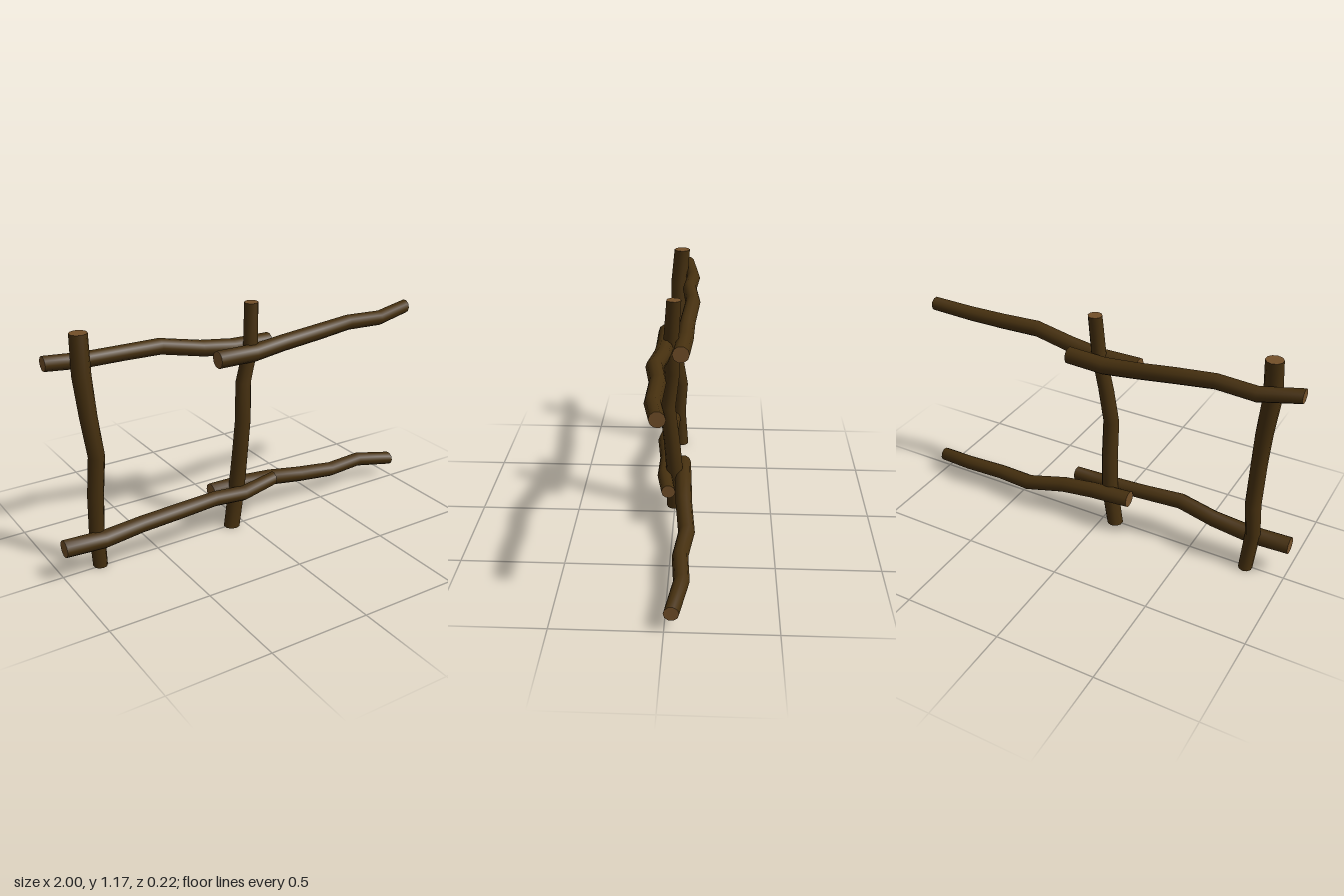
import * as THREE from 'three';

const SIDES = 10;

// A crooked log: each point is [along, across, z, radius]. Posts run along y, rails along x.
function makeLog(name, upright, points, materials) {
  const rows = points.length - 1;
  const geo = new THREE.CylinderGeometry(1, 1, 1, SIDES, rows);
  const pos = geo.attributes.position;
  for (let i = 0; i < pos.count; i++) {
    const [along, across, z, r] = points[Math.round((pos.getY(i) + 0.5) * rows)];
    const px = pos.getX(i) * r, pz = pos.getZ(i) * r + z;
    if (upright) pos.setXYZ(i, across + px, along, pz);
    else pos.setXYZ(i, along, across - px, pz);
  }
  geo.computeVertexNormals();

  // Blend the normals where the bark wraps round to its start
  const nor = geo.attributes.normal;
  const a = new THREE.Vector3(), b = new THREE.Vector3();
  for (let row = 0; row <= rows; row++) {
    const first = row * (SIDES + 1), last = first + SIDES;
    a.fromBufferAttribute(nor, first).add(b.fromBufferAttribute(nor, last)).normalize();
    nor.setXYZ(first, a.x, a.y, a.z);
    nor.setXYZ(last, a.x, a.y, a.z);
  }
  const mesh = new THREE.Mesh(geo, materials);
  mesh.name = name;
  return mesh;
}

export function createModel() {
  const bark = new THREE.MeshStandardMaterial({ color: 0x46300f });
  bark.name = 'bark';
  const cutWood = new THREE.MeshStandardMaterial({ color: 0x735029 });
  cutWood.name = 'cut wood';
  const materials = [bark, cutWood, cutWood]; // side, far end, near end

  const group = new THREE.Group();
  group.name = 'fence';

  // Posts: [y, x, z, radius]
  group.add(makeLog('outerPost', true, [
    [0, -0.805, -0.01, 0.035], [0.2, -0.82, 0.008, 0.037], [0.38, -0.81, -0.002, 0.039],
    [0.59, -0.808, 0.033, 0.039], [0.78, -0.825, 0.01, 0.041], [0.98, -0.845, 0.012, 0.044],
    [1.17, -0.84, -0.005, 0.042],
  ], materials));
  group.add(makeLog('middlePost', true, [
    [0, -0.07, 0, 0.042], [0.2, -0.04, -0.002, 0.043], [0.38, -0.03, 0.012, 0.041],
    [0.59, -0.025, 0.035, 0.04], [0.78, -0.008, 0.012, 0.039], [0.95, 0.032, 0.015, 0.037],
    [1.17, 0.045, 0, 0.035],
  ], materials));

  // Rails: [x, y, z, radius]
  group.add(makeLog('upperBackRail', false, [
    [-1, 1.05, -0.035, 0.035], [-0.8, 1.02, -0.068, 0.037], [-0.6, 1.022, -0.055, 0.037],
    [-0.41, 1.01, -0.077, 0.039], [-0.2, 0.968, -0.056, 0.04], [-0.03, 0.945, -0.05, 0.042],
    [0.17, 0.945, -0.038, 0.042],
  ], materials));
  group.add(makeLog('upperFrontRail', false, [
    [-0.17, 0.932, 0.043, 0.043], [0.035, 0.93, 0.043, 0.043], [0.2, 0.952, 0.048, 0.041],
    [0.41, 0.98, 0.068, 0.04], [0.6, 0.987, 0.043, 0.038], [0.8, 0.98, 0.05, 0.037],
    [1, 1.003, 0.02, 0.035],
  ], materials));
  group.add(makeLog('lowerFrontRail', false, [
    [-1, 0.174, 0.042, 0.043], [-0.8, 0.165, 0.043, 0.044], [-0.6, 0.186, 0.044, 0.041],
    [-0.41, 0.21, 0.067, 0.04], [-0.2, 0.208, 0.046, 0.038], [-0.03, 0.195, 0.05, 0.038],
    [0.17, 0.214, 0.022, 0.035],
  ], materials));
  group.add(makeLog('lowerBackRail', false, [
    [-0.17, 0.203, -0.038, 0.042], [0.035, 0.195, -0.048, 0.042], [0.2, 0.177, -0.056, 0.041],
    [0.41, 0.132, -0.077, 0.04], [0.6, 0.12, -0.054, 0.038], [0.8, 0.123, -0.068, 0.037],
    [1, 0.095, -0.032, 0.035],
  ], materials));

  return group;
}
